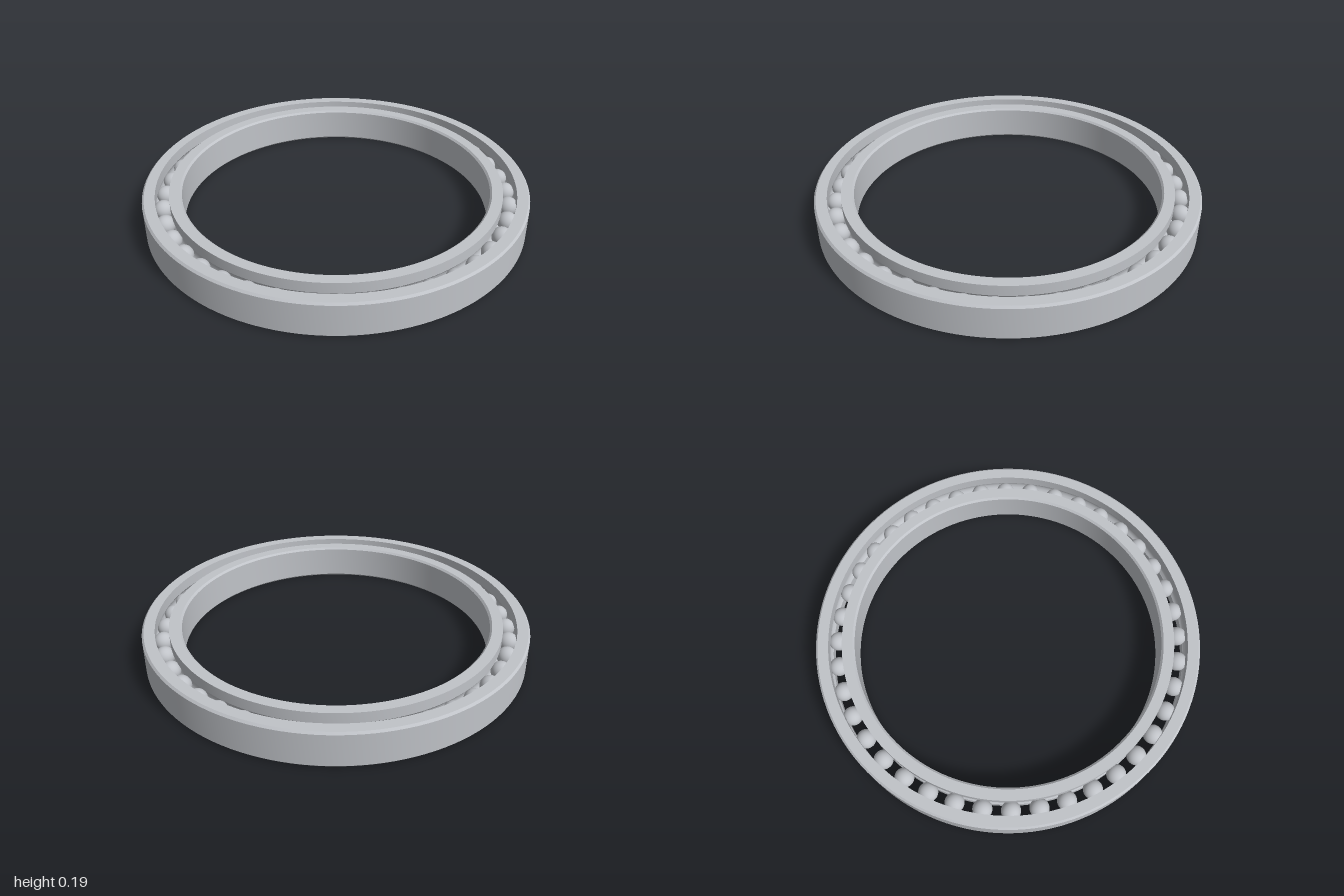
import * as THREE from 'three';
import { toCreasedNormals } from 'three/addons/utils/BufferGeometryUtils.js';

const HEIGHT = 0.187, MID = HEIGHT / 2, CHAMFER = 0.01;
const PITCH = 0.9, BALL_R = 0.05, BALLS = 40, GAP = 0.035;

// Lathed ring between the plain wall and the grooved wall; side is +1 for the outer race, -1 for the inner
function race(name, side, wall, material) {
  const c = CHAMFER;
  const grooved = PITCH + side * GAP;
  const points = [
    [wall, c], [wall, HEIGHT - c], [wall - side * c, HEIGHT], [grooved, HEIGHT],
  ];
  // Ball groove, running downwards
  const r = BALL_R + 0.001, half = Math.acos(GAP / r), steps = 10;
  for (let i = 0; i <= steps; i++) {
    const a = half - (2 * half * i) / steps;
    points.push([PITCH + side * r * Math.cos(a), MID + r * Math.sin(a)]);
  }
  points.push([grooved, 0], [wall - side * c, 0], [wall, c]);
  if (side < 0) points.reverse();
  const lathe = new THREE.LatheGeometry(points.map(([x, y]) => new THREE.Vector2(x, y)), 128);
  const mesh = new THREE.Mesh(toCreasedNormals(lathe, Math.PI / 6), material);
  mesh.name = name;
  return mesh;
}

export function createModel() {
  const steel = new THREE.MeshStandardMaterial({ color: 0xc0c3c8 });
  steel.name = 'steel';

  const model = new THREE.Group();
  model.name = 'ballBearing';
  model.add(race('outerRace', 1, 1.0, steel), race('innerRace', -1, 0.8, steel));

  // Evenly spaced balls
  const balls = new THREE.Group();
  balls.name = 'balls';
  const sphere = new THREE.SphereGeometry(BALL_R, 28, 18);
  for (let i = 0; i < BALLS; i++) {
    const a = (i / BALLS) * Math.PI * 2;
    const ball = new THREE.Mesh(sphere, steel);
    ball.name = 'ball';
    ball.position.set(PITCH * Math.cos(a), MID, PITCH * Math.sin(a));
    balls.add(ball);
  }
  model.add(balls);
  return model;
}
